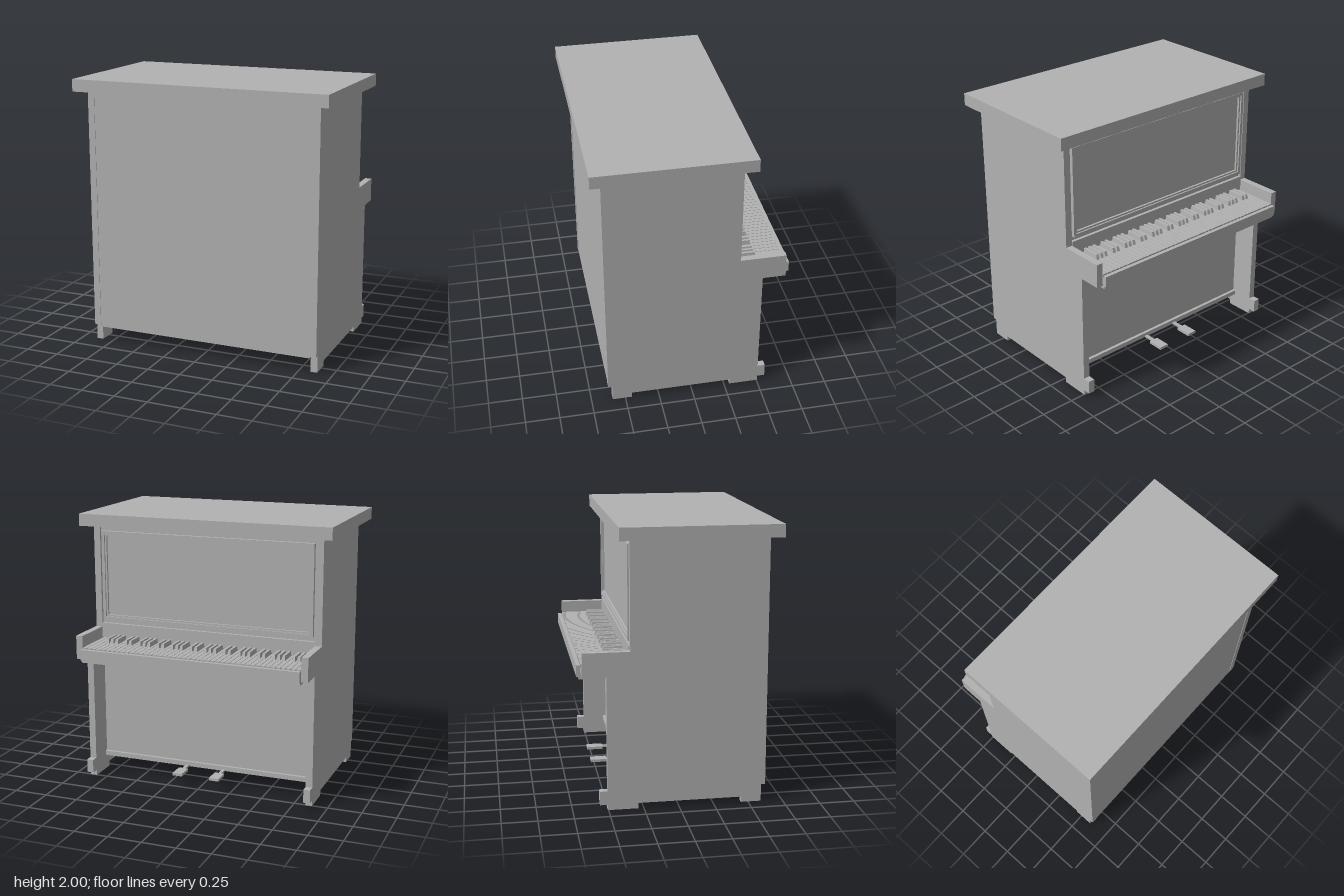
import * as THREE from 'three';

export function createModel() {
  const piano = new THREE.Group();
  piano.name = 'uprightPiano';
  const grey = new THREE.MeshStandardMaterial({ color: 0xb2b2b2 });
  grey.name = 'plain grey';

  const add = (name, geometry) => {
    const mesh = new THREE.Mesh(geometry, grey);
    mesh.name = name;
    piano.add(mesh);
    return mesh;
  };
  // Box given by its limits on each axis
  const box = (name, x0, x1, y0, y1, z0, z1) => {
    const g = new THREE.BoxGeometry(x1 - x0, y1 - y0, z1 - z0);
    g.translate((x0 + x1) / 2, (y0 + y1) / 2, (z0 + z1) / 2);
    return add(name, g);
  };

  // Lid and main case
  box('lid', -0.965, 0.965, 1.91, 2, -0.42, 0.705);
  box('caseBody', -0.836, 0.836, 0.11, 1.91, -0.322, 0.621);

  // Side panels with feet and key arms, as [z, y] outline
  const outline = [
    [0.625, 0.125], [0.595, 0.125], [0.595, 0], [0.45, 0], [0.45, 0.04], [-0.29, 0.04],
    [-0.29, 0], [-0.505, 0], [-0.505, 0.04], [-0.56, 0.04], [-0.56, 0.14], [-0.505, 0.14],
    [-0.505, 0.965], [-0.67, 0.965], [-0.67, 1.14], [-0.34, 1.14], [-0.34, 1.91], [0.625, 1.91],
  ];
  const shape = new THREE.Shape(outline.map(([z, y]) => new THREE.Vector2(-z, y)));
  for (const [name, x] of [['leftSide', 0.835], ['rightSide', -0.885]]) {
    const g = new THREE.ExtrudeGeometry(shape, { depth: 0.05, bevelEnabled: false });
    g.rotateY(Math.PI / 2);
    g.translate(x, 0, 0);
    add(name, g);
  }

  // Rectangular moulding with a hole, on the keyboard side
  const frame = (name, hx, y0, y1, w, z0, z1) => {
    const rect = (T, a, b, c) => new T([[-a, b], [a, b], [a, c], [-a, c]]
      .map(([x, y]) => new THREE.Vector2(x, y)));
    const s = rect(THREE.Shape, hx, y0, y1);
    s.holes.push(rect(THREE.Path, hx - w, y0 + w, y1 - w));
    const g = new THREE.ExtrudeGeometry(s, { depth: z1 - z0, bevelEnabled: false });
    g.translate(0, 0, z0);
    add(name, g);
  };
  frame('upperPanelMoulding', 0.82, 1.2, 1.87, 0.022, -0.349, -0.32);
  frame('upperPanelInnerMoulding', 0.799, 1.221, 1.849, 0.014, -0.338, -0.32);
  box('fallboardRail', -0.835, 0.835, 1.06, 1.17, -0.345, -0.32);
  box('bottomRail', -0.835, 0.835, 0.11, 0.145, -0.345, -0.32);

  // Keybed and slip in front of the keys
  box('keybed', -0.835, 0.835, 0.945, 0.985, -0.69, -0.32);
  box('keySlip', -0.835, 0.835, 0.965, 1.045, -0.706, -0.678);

  // White keys, with black keys in groups of two and three
  const count = 45, pitch = 1.67 / count, start = -0.835;
  for (let i = 0; i < count; i++) {
    const x = start + i * pitch;
    box('whiteKey', x + 0.0018, x + pitch - 0.0018, 0.985, 1.053, -0.674, -0.325);
    // Octave begins at the second key
    const step = (i + 6) % 7;
    if (i > 0 && i < count - 2 && step !== 2 && step !== 6) {
      const c = x + pitch;
      const g = new THREE.BoxGeometry(0.026, 0.035, 0.165);
      const p = g.attributes.position;
      // Taper the top and slope its front end
      for (let k = 0; k < p.count; k++) {
        if (p.getY(k) > 0) {
          p.setX(k, p.getX(k) * 0.7);
          if (p.getZ(k) < 0) p.setZ(k, p.getZ(k) + 0.012);
        }
      }
      g.computeVertexNormals();
      g.translate(c, 1.07, -0.4075);
      add('blackKey', g);
    }
  }

  // Pedals
  for (const x of [-0.147, 0.143]) {
    box('pedalStem', x - 0.012, x + 0.012, 0.108, 0.122, -0.45, -0.3);
    box('pedalHead', x - 0.037, x + 0.037, 0.104, 0.124, -0.55, -0.43);
  }
  return piano;
}
